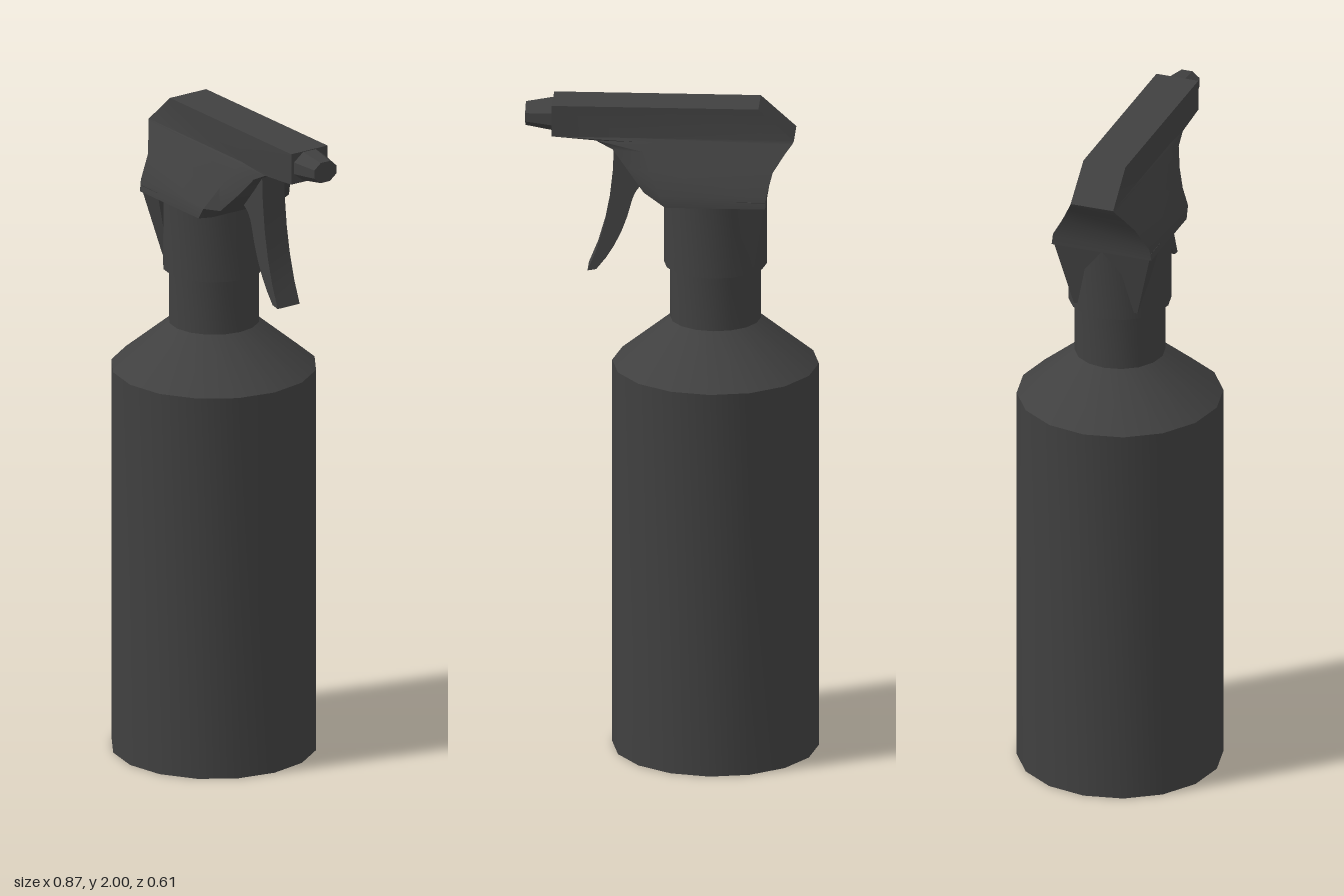
import * as THREE from 'three';
import { toCreasedNormals } from 'three/addons/utils/BufferGeometryUtils.js';

const AXIS = -0.13; // x of the bottle's axis

// Stack of closed rings, top to bottom; each level is { y, half: [[x, z], ...] } mirrored in z.
function loft(levels) {
  const pos = [], idx = [];
  const n = levels[0].half.length * 2, last = (levels.length - 1) * n;
  for (const { y, half } of levels) {
    const ring = [...half, ...half.map(([x, z]) => [x, -z]).reverse()];
    for (const [x, z] of ring) pos.push(x, y, z);
  }
  for (let r = 0; r < levels.length - 1; r++) {
    for (let i = 0; i < n; i++) {
      const a = r * n + i, d = r * n + (i + 1) % n;
      idx.push(a, a + n, d + n, a, d + n, d);
    }
  }
  for (let i = 1; i < n - 1; i++) {
    idx.push(0, i, i + 1);
    idx.push(last, last + i + 1, last + i);
  }
  const g = new THREE.BufferGeometry();
  g.setAttribute('position', new THREE.Float32BufferAttribute(pos, 3));
  g.setIndex(idx);
  return g;
}

function lathe(profile) {
  const g = new THREE.LatheGeometry(profile.map(([r, y]) => new THREE.Vector2(r, y)), 16);
  return g.translate(AXIS, 0, 0);
}

export function createModel() {
  const group = new THREE.Group();
  const plastic = new THREE.MeshStandardMaterial({ color: 0x404040 });
  const add = (name, geometry, crease = 0.6) => {
    const mesh = new THREE.Mesh(toCreasedNormals(geometry, crease), plastic);
    mesh.name = name;
    group.add(mesh);
    return mesh;
  };

  // Bottle with sloped shoulder and neck
  add('bottle', lathe([[0, 0], [0.305, 0], [0.305, 1.19], [0.134, 1.33], [0.134, 1.52], [0, 1.52]]));

  // Screw collar
  add('collar', lathe([[0, 1.5], [0.152, 1.5], [0.152, 1.73], [0, 1.73]]));

  // Spray head: narrow barrel on top, flaring to a skirt over the collar.
  // y, then x and half-width at the rear, the side and the front
  const head = [
    [2.0, -0.26, 0.066, 0.1, 0.066, 0.35, 0.066],
    [1.905, -0.365, 0.067, 0.1, 0.067, 0.35, 0.066],
    [1.895, -0.36, 0.072, 0.1, 0.074, 0.22, 0.066],
    [1.87, -0.34, 0.086, 0.08, 0.09, 0.17, 0.072],
    [1.82, -0.305, 0.114, 0.06, 0.118, 0.13, 0.09],
    [1.755, -0.287, 0.152, 0.03, 0.154, 0.075, 0.125],
    [1.72, -0.285, 0.157, 0.01, 0.157, 0.025, 0.12],
  ].map(([y, xr, wr, xs, ws, xf, wf]) => ({ y, half: [[xr, wr], [xs, ws], [xf, wf]] }));
  add('sprayHead', loft(head));

  // Tapered flap hanging behind the collar
  add('rearFlap', loft([
    { y: 1.74, half: [[-0.285, 0.155], [-0.2, 0.155]] },
    { y: 1.52, half: [[-0.25, 0.1], [-0.22, 0.1]] },
  ]));

  // Nozzle tip, narrowing forward
  const nozzle = new THREE.CylinderGeometry(0.04, 0.058, 0.09, 8);
  nozzle.rotateY(Math.PI / 8).rotateZ(-Math.PI / 2).scale(1, 0.85, 1.08);
  add('nozzle', nozzle.translate(0.385, 1.954, 0));

  // Curved trigger
  const s = new THREE.Shape();
  s.moveTo(0.06, 1.88);
  s.lineTo(0.06, 1.76);
  s.quadraticCurveTo(0.1, 1.755, 0.115, 1.7);
  s.quadraticCurveTo(0.145, 1.57, 0.22, 1.485);
  s.lineTo(0.246, 1.48);
  s.quadraticCurveTo(0.17, 1.64, 0.167, 1.89);
  const trigger = new THREE.ExtrudeGeometry(s, { depth: 0.08, bevelEnabled: false, curveSegments: 5 });
  add('trigger', trigger.translate(0, 0, -0.04));

  return group;
}
